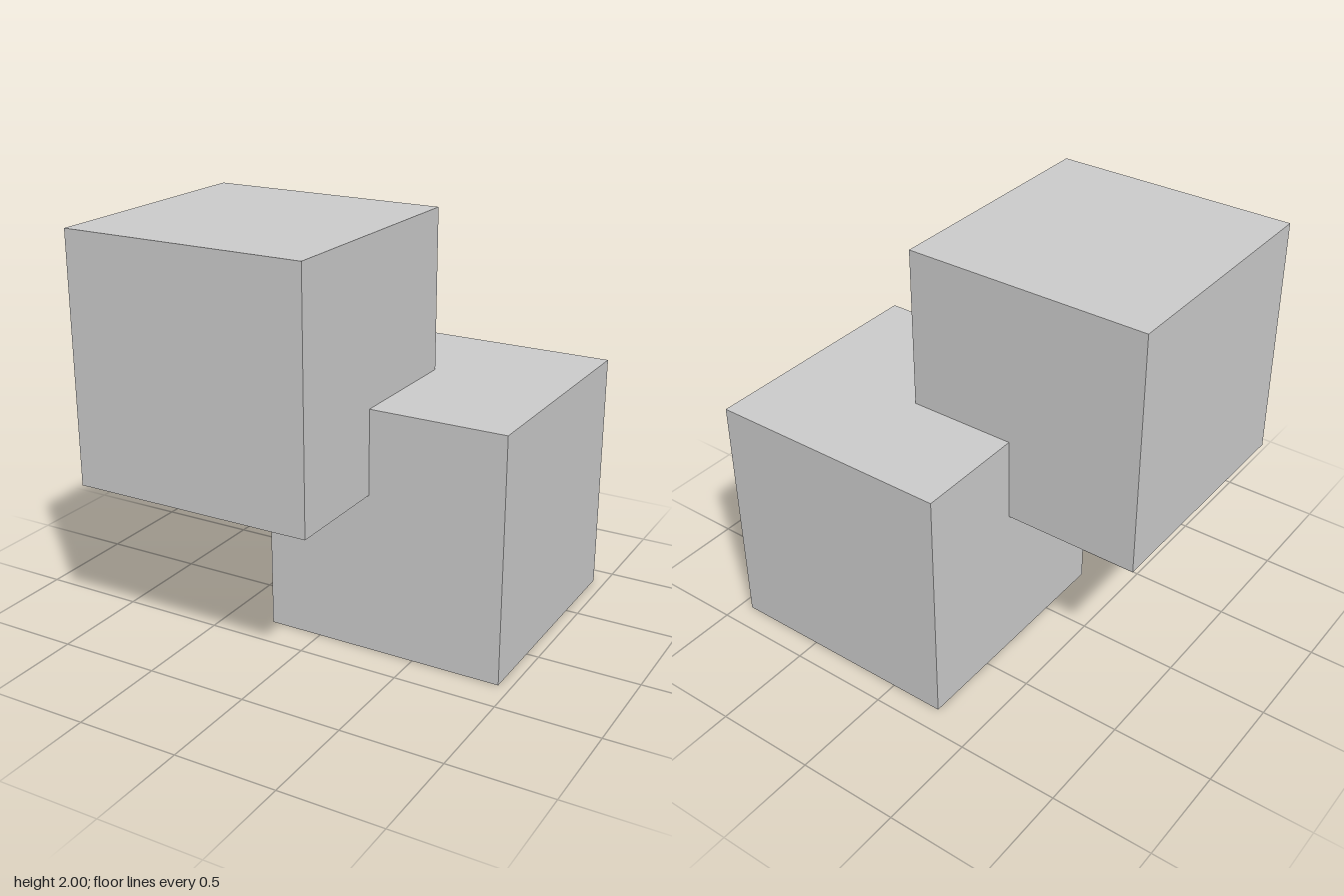
import * as THREE from 'three';

export function createModel() {
  const group = new THREE.Group();
  const material = new THREE.MeshStandardMaterial({ color: 0xcccccc, flatShading: true });
  const size = 1.208;
  const geometry = new THREE.BoxGeometry(size, size, size);

  // Two equal cubes that overlap at one corner
  const addCube = (name, x, y, z) => {
    const cube = new THREE.Mesh(geometry, material);
    cube.name = name;
    cube.position.set(x, y, z);
    group.add(cube);
  };
  addCube('lowerCube', 0.336, size / 2, -0.278);
  addCube('upperCube', -0.336, 2 - size / 2, 0.278);

  return group;
}
